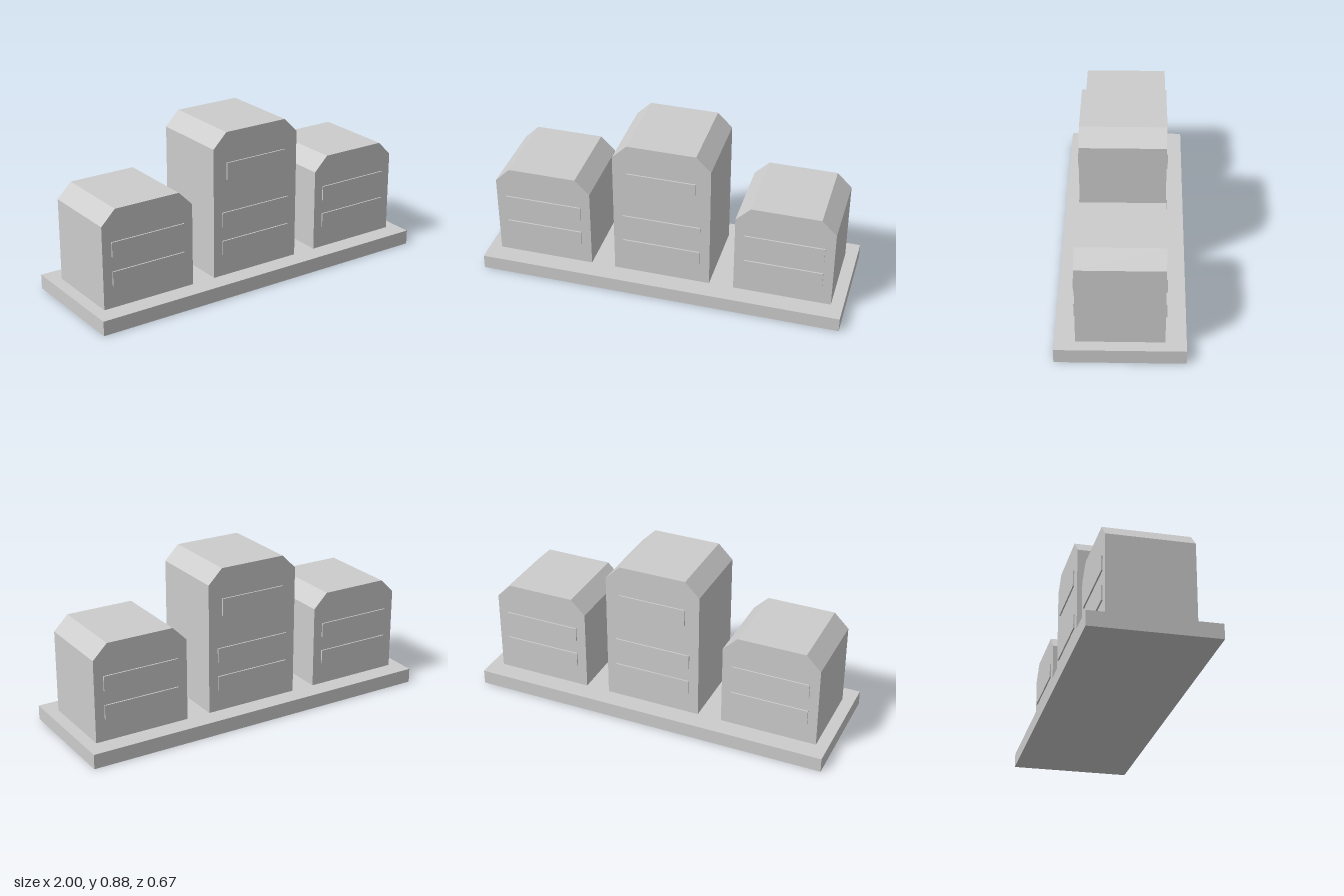
import * as THREE from 'three';

export function createModel() {
  const model = new THREE.Group();
  const grey = new THREE.MeshStandardMaterial({ color: 0xcccccc });
  grey.name = 'light grey';

  const baseTop = 0.08, width = 0.533, depth = 0.453, bevel = 0.08;

  const box = (name, w, h, d, x, y, z, parent) => {
    const mesh = new THREE.Mesh(new THREE.BoxGeometry(w, h, d), grey);
    mesh.name = name;
    mesh.position.set(x, y, z);
    parent.add(mesh);
  };

  // Block with chamfered top edges, carrying raised bars on front and back
  const block = (name, x, top, bars) => {
    const group = new THREE.Group();
    group.name = name;
    group.position.x = x;
    const w = width / 2;
    const outline = new THREE.Shape([
      [-w, baseTop], [w, baseTop], [w, top - bevel], [w - bevel, top],
      [-w + bevel, top], [-w, top - bevel],
    ].map(([px, py]) => new THREE.Vector2(px, py)));
    const geometry = new THREE.ExtrudeGeometry(outline, { depth, bevelEnabled: false });
    geometry.translate(0, 0, -depth / 2);
    const body = new THREE.Mesh(geometry, grey);
    body.name = name + 'Body';
    group.add(body);
    for (const [y, barWidth, barHeight] of bars) {
      box('frontBar', barWidth, barHeight, 0.008, 0, y, depth / 2 + 0.0035, group);
      box('backBar', barWidth, barHeight, 0.008, 0, y, -depth / 2 - 0.0035, group);
    }
    model.add(group);
  };

  // Base slab
  box('base', 2, baseTop, 0.667, 0, baseTop / 2, 0, model);

  // Three blocks, the middle one taller with an extra upper bar
  const lowBars = [[0.24, 0.427, 0.08], [0.4, 0.427, 0.08]];
  block('leftBlock', 0.667, 0.613, lowBars);
  block('middleBlock', 0, 0.88, [...lowBars, [0.667, 0.373, 0.093]]);
  block('rightBlock', -0.667, 0.613, lowBars);

  return model;
}
